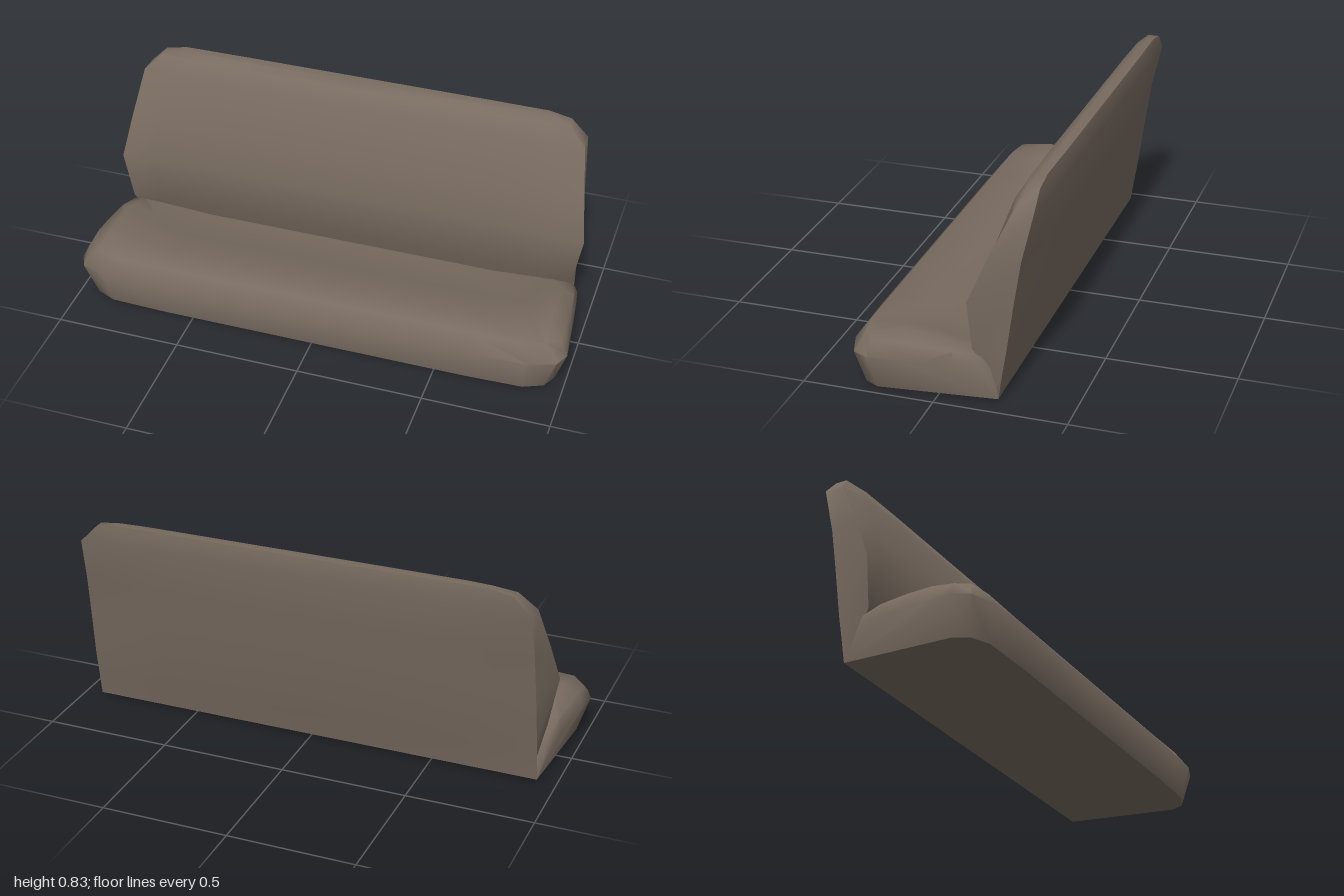
import * as THREE from 'three';
import { toCreasedNormals } from 'three/addons/utils/BufferGeometryUtils.js';

// Skin a list of closed rings (equal point counts) and cap both ends.
function loft(rings, creaseAngle) {
  const pos = [];
  const v = (p) => new THREE.Vector3(...p);
  const tri = (a, b, c) => {
    const area = v(b).sub(v(a)).cross(v(c).sub(v(a))).length();
    if (area > 1e-7) pos.push(...a, ...b, ...c);
  };
  const n = rings[0].length;
  for (let i = 0; i < rings.length - 1; i++) {
    for (let j = 0; j < n; j++) {
      const k = (j + 1) % n;
      const a = rings[i][j], b = rings[i][k], c = rings[i + 1][k], d = rings[i + 1][j];
      tri(a, b, c);
      tri(a, c, d);
    }
  }
  const first = rings[0], last = rings[rings.length - 1];
  for (let j = 1; j < n - 1; j++) {
    tri(first[0], first[j + 1], first[j]);
    tri(last[0], last[j], last[j + 1]);
  }
  const g = new THREE.BufferGeometry();
  g.setAttribute('position', new THREE.Float32BufferAttribute(pos, 3));
  return toCreasedNormals(g, creaseAngle);
}

const mirror = (p) => [-p[0], p[1], p[2]];

// Seat cushion: side-on sections, from the left side inwards, then mirrored.
// Each runs bottom back, bottom front, front, front top, then rearwards.
function cushionGeometry() {
  const middle = [[0.01, -0.22], [0, 0.325], [0.14, 0.352], [0.2, 0.3],
    [0.196, 0.15], [0.165, 0.02], [0.135, -0.08], [0.125, -0.22]];
  const at = (x) => middle.map(([y, z]) => [x, y, z]);
  const half = [
    // widest line of the side
    [[0.925, 0.01, -0.22], [0.955, 0, 0.23], [1, 0.14, 0.25], [1, 0.14, 0.25],
      [0.99, 0.14, 0.15], [0.98, 0.14, 0.05], [0.967, 0.14, -0.06], [0.955, 0.14, -0.14]],
    // upper side edge
    [[0.925, 0.01, -0.22], [0.955, 0, 0.23], [1, 0.14, 0.25], [0.972, 0.195, 0.24],
      [0.972, 0.203, 0.15], [0.965, 0.2, 0.05], [0.955, 0.19, -0.06], [0.94, 0.17, -0.14]],
    // raised side bolster
    [[0.92, 0.01, -0.22], [0.925, 0, 0.285], [0.972, 0.14, 0.31], [0.92, 0.208, 0.28],
      [0.91, 0.23, 0.15], [0.91, 0.225, 0.05], [0.91, 0.205, -0.06], [0.91, 0.17, -0.17]],
    // front corner
    [[0.84, 0.01, -0.22], [0.85, 0, 0.318], [0.87, 0.14, 0.345], [0.83, 0.203, 0.3],
      [0.82, 0.206, 0.15], [0.81, 0.192, 0.04], [0.81, 0.172, -0.06], [0.82, 0.15, -0.2]],
    at(0.62),
  ];
  const right = half.map((ring) => ring.map(mirror)).reverse();
  return loft([...half, at(0), ...right], 1.0);
}

// Backrest: level sections from the bottom up.
// [height, rim x, front z at middle, rim z, back edge x, back edge z, back z at middle]
function backrestGeometry() {
  const levels = [
    [0.012, 0.9, -0.2, -0.2, 0.925, -0.221, -0.221],
    [0.12, 0.91, -0.19, -0.18, 0.925, -0.237, -0.245],
    [0.2, 0.93, -0.145, -0.125, 0.925, -0.25, -0.265],
    [0.4, 0.965, -0.135, -0.118, 0.92, -0.278, -0.3],
    [0.56, 0.94, -0.172, -0.185, 0.915, -0.303, -0.325],
    [0.74, 0.91, -0.235, -0.27, 0.907, -0.345, -0.352],
    [0.81, 0.84, -0.278, -0.3, 0.838, -0.346, -0.351],
    [0.828, 0.75, -0.31, -0.318, 0.748, -0.346, -0.348],
  ];
  const rings = levels.map(([y, xr, zf, zr, xb, ze, zb]) => {
    const side = [
      [xr * 0.62, y, zf],
      [xr * 0.87, y, zf + (zr - zf) * 0.15],
      [xr, y, zr],
      [xb, y, ze],
      [xb * 0.65, y, zb],
    ];
    return [[0, y, zf], ...side, [0, y, zb], ...side.map(mirror).reverse()];
  });
  return loft(rings, 1.1);
}

export function createModel() {
  const upholstery = new THREE.MeshStandardMaterial({ color: 0x786b60 });
  upholstery.name = 'brown upholstery';

  const group = new THREE.Group();
  group.name = 'benchSeat';
  const parts = { seatCushion: cushionGeometry(), backrest: backrestGeometry() };
  for (const [name, geometry] of Object.entries(parts)) {
    const mesh = new THREE.Mesh(geometry, upholstery);
    mesh.name = name;
    group.add(mesh);
  }
  return group;
}
